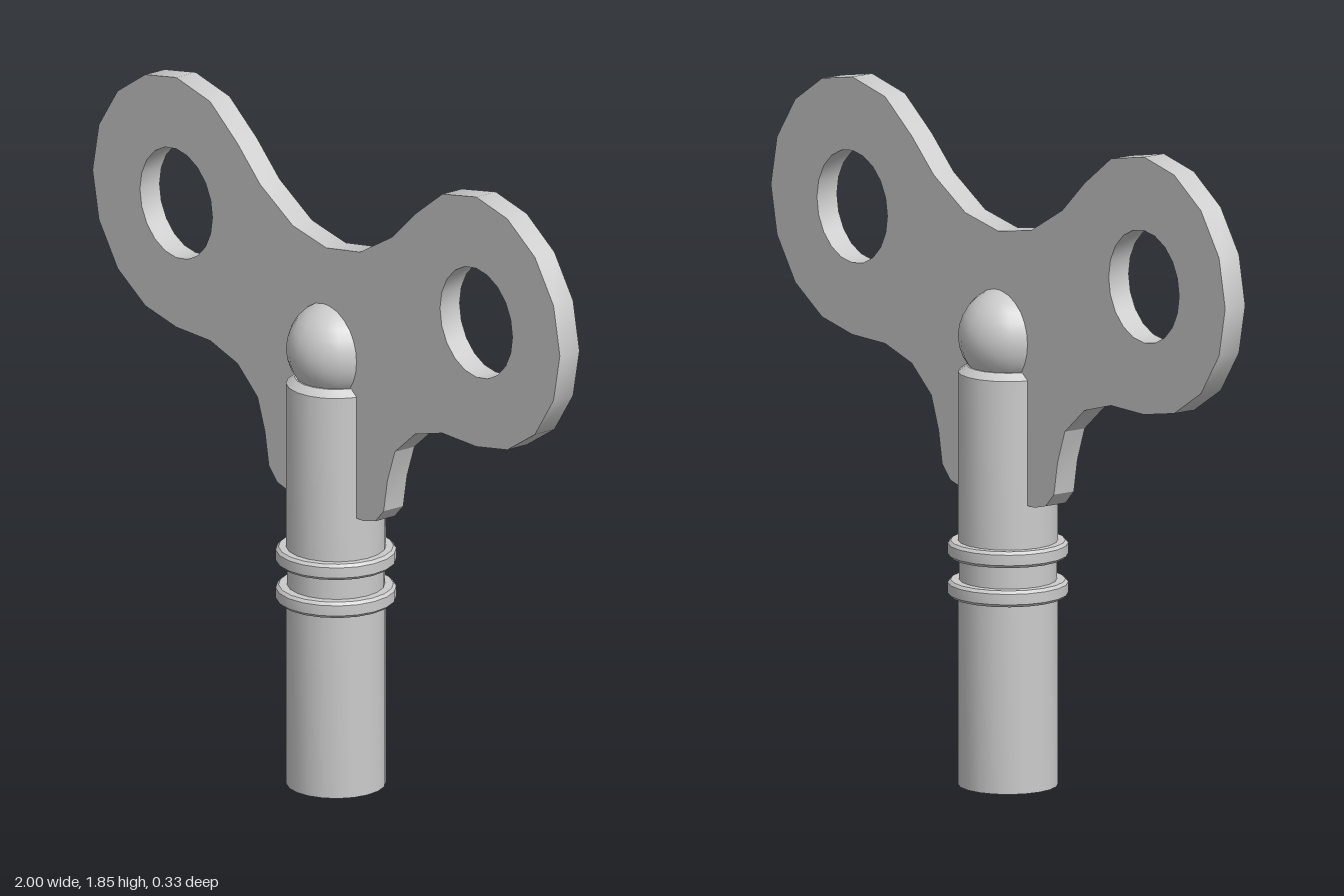
import * as THREE from 'three';
import { toCreasedNormals } from 'three/addons/utils/BufferGeometryUtils.js';

const material = new THREE.MeshStandardMaterial({ color: 0xcccccc });
const SIDES = 20;

function part(name, geometry) {
  const mesh = new THREE.Mesh(geometry, material);
  mesh.name = name;
  return mesh;
}

function lathe(name, profile) {
  const points = profile.map(([r, y]) => new THREE.Vector2(r, y));
  return part(name, toCreasedNormals(new THREE.LatheGeometry(points, SIDES), 0.5));
}

// Flat butterfly handle: half outline mirrored, with a round hole in each wing
function createHandle() {
  const half = [
    [0.16, 0.794], [0.21, 0.807], [0.246, 0.845], [0.262, 0.936], [0.294, 1.027],
    [0.38, 1.1], [0.497, 1.134], [0.642, 1.134], [0.775, 1.16], [0.893, 1.235],
    [0.973, 1.353], [1, 1.487], [0.973, 1.623], [0.893, 1.74], [0.775, 1.818],
    [0.642, 1.845], [0.497, 1.815], [0.38, 1.727], [0.283, 1.636], [0.144, 1.556],
  ];
  const mirrored = half.map(([x, y]) => [-x, y]).reverse();
  const outline = [...half, [0, 1.53], ...mirrored];
  const shape = new THREE.Shape(outline.map(([x, y]) => new THREE.Vector2(x, y)));
  for (const side of [-1, 1]) {
    const hole = [];
    for (let i = 0; i < SIDES; i++) {
      const a = (i / SIDES) * Math.PI * 2;
      hole.push(new THREE.Vector2(side * 0.642 + 0.155 * Math.cos(a), 1.487 + 0.155 * Math.sin(a)));
    }
    shape.holes.push(new THREE.Path(hole));
  }
  const thickness = 0.068;
  const geometry = new THREE.ExtrudeGeometry(shape, { depth: thickness, bevelEnabled: false });
  geometry.translate(0, 0, -thickness / 2);
  return part('handle', toCreasedNormals(geometry, 0.5));
}

export function createModel() {
  const group = new THREE.Group();
  group.name = 'windingKey';

  group.add(createHandle());

  // Shaft with a blind socket at the bottom and a chamfered top
  group.add(lathe('shaft', [
    [0, 0.4], [0.093, 0.4], [0.093, 0], [0.135, 0], [0.135, 0.54], [0.132, 0.54],
    [0.132, 0.65], [0.135, 0.65], [0.135, 1.139], [0.112, 1.157], [0, 1.157],
  ]));

  // Two collars with small bevels
  for (const [name, y] of [['lowerCollar', 0.521], ['upperCollar', 0.629]]) {
    group.add(lathe(name, [
      [0.13, y], [0.155, y], [0.163, y + 0.008], [0.163, y + 0.037],
      [0.155, y + 0.045], [0.13, y + 0.045],
    ]));
  }

  // Ball finial
  const ball = part('ball', new THREE.SphereGeometry(0.135, SIDES, 14));
  ball.position.y = 1.238;
  group.add(ball);

  return group;
}
